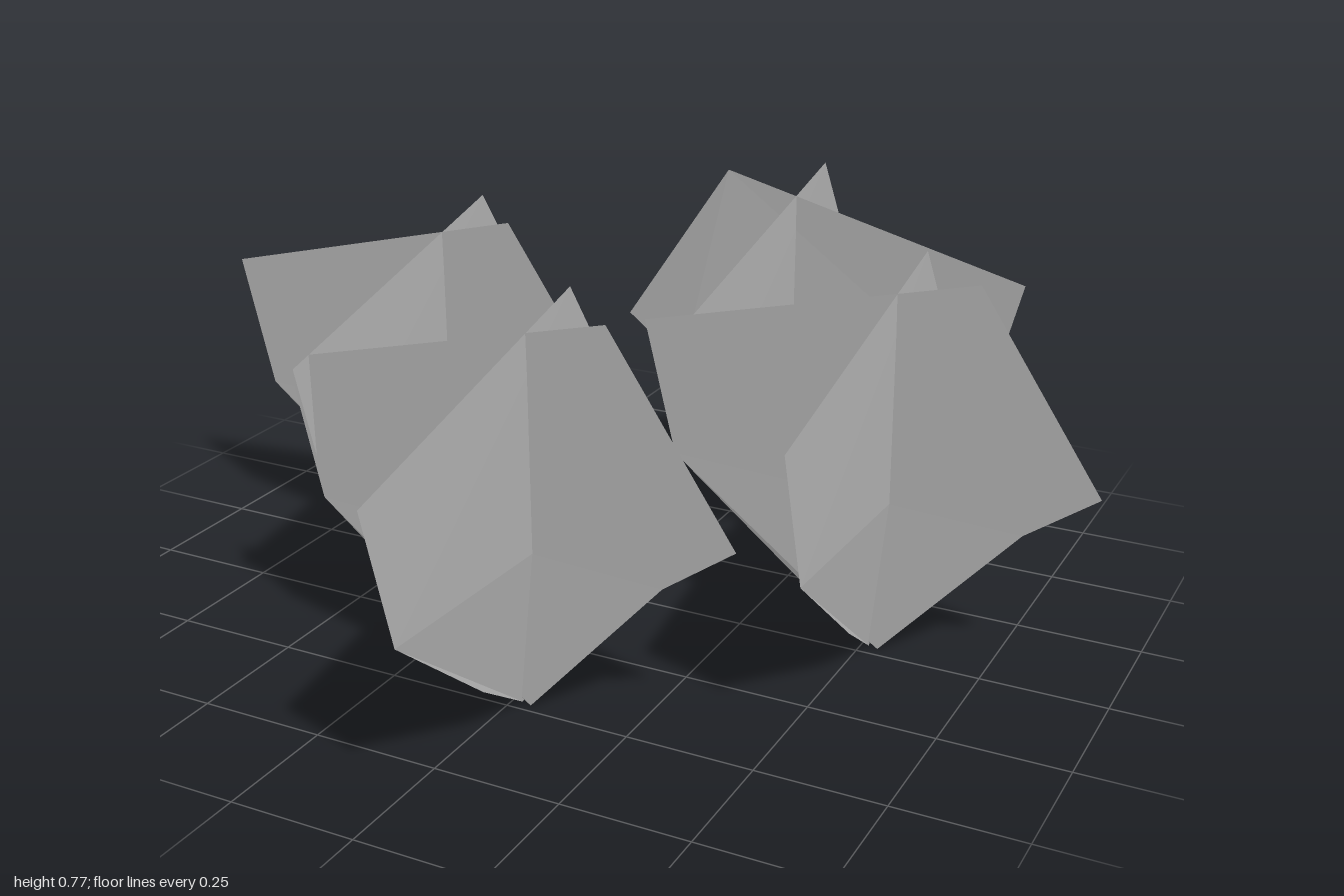
import * as THREE from 'three';

// Leaf sheet outline, counter-clockwise from the root: [across, height]
const OUTLINE = [[0, 0], [0.27, 0.3], [0.41, 0.4], [0.16, 0.77], [-0.52, 0.6], [-0.45, 0.33], [-0.17, 0.11]];
// Slight out-of-plane bend at each outline corner
const FLAT_BEND = [0, -0.003, -0.006, 0.004, 0.005, 0.004, 0.006];
const CURVED_BEND = [0, 0.01, 0.002, 0.002, 0.015, 0.006, -0.02];

function sheetGeometry(bend) {
  const shape = new THREE.Shape(OUTLINE.map(([x, y]) => new THREE.Vector2(x, y)));
  const indexed = new THREE.ShapeGeometry(shape);
  const pos = indexed.attributes.position;
  for (let i = 0; i < pos.count; i++) pos.setZ(i, bend[i]);
  const geo = indexed.toNonIndexed();
  geo.computeVertexNormals();
  return geo;
}

export function createModel() {
  const model = new THREE.Group();
  model.name = 'plantCluster';
  const leafGrey = new THREE.MeshStandardMaterial({ color: 0xb4b4b4, side: THREE.DoubleSide });
  leafGrey.name = 'leaf grey';

  const flat = sheetGeometry(FLAT_BEND);
  const curved = sheetGeometry(CURVED_BEND);

  // Each plant: two crossed sheets; [x, z, turn]
  const plants = [
    [-0.43, 0, 0],
    [0.535, -0.03, 0],
    [0.04, 0.475, 0],
    [0.1, -0.59, Math.PI / 2],
  ];
  plants.forEach(([x, z, turn], i) => {
    const plant = new THREE.Group();
    plant.name = `plant${i + 1}`;
    const across = new THREE.Mesh(flat, leafGrey);
    across.name = 'leafSheetAcross';
    const along = new THREE.Mesh(curved, leafGrey);
    along.name = 'leafSheetAlong';
    along.rotation.y = Math.PI / 2;
    plant.add(across, along);
    plant.position.set(x, 0, z);
    plant.rotation.y = turn;
    model.add(plant);
  });
  return model;
}
